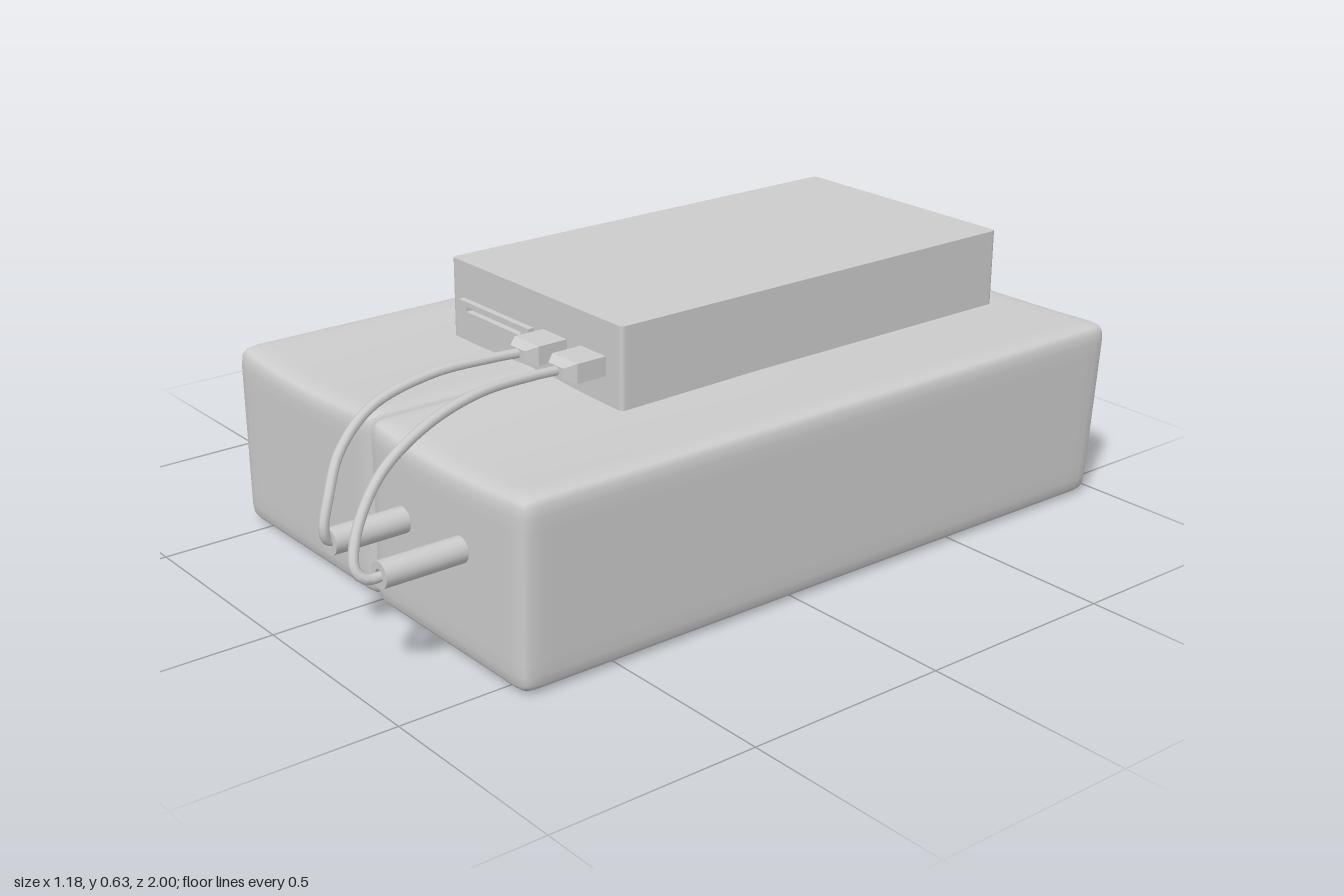
import * as THREE from 'three';
import { mergeVertices } from 'three/addons/utils/BufferGeometryUtils.js';

const material = new THREE.MeshStandardMaterial({ color: 0xcccccc });

function add(parent, name, geometry, x = 0, y = 0, z = 0) {
  const mesh = new THREE.Mesh(geometry, material);
  mesh.name = name;
  mesh.position.set(x, y, z);
  parent.add(mesh);
  return mesh;
}

function rectangle(path, x0, y0, x1, y1) {
  path.moveTo(x0, y0);
  path.lineTo(x1, y0);
  path.lineTo(x1, y1);
  path.lineTo(x0, y1);
  path.closePath();
  return path;
}

// Soft rounded block, slightly uneven; side is -1 or +1, inner face near x = 0
function cushionGeometry(side, zBack, zFront) {
  const half = new THREE.Vector3(0.29, 0.222, (zFront - zBack) / 2);
  const r = 0.038;
  const box = new THREE.BoxGeometry(2, 2, 2, 16, 14, 28);
  box.deleteAttribute('uv');
  box.deleteAttribute('normal');
  const geometry = mergeVertices(box);
  const pos = geometry.attributes.position;
  const p = new THREE.Vector3(), core = new THREE.Vector3();
  const limit = half.clone().subScalar(r);
  // crowd the grid lines towards the edges
  const pack = t => Math.sign(t) * (1 - Math.pow(1 - Math.abs(t), 1.9));
  for (let i = 0; i < pos.count; i++) {
    p.fromBufferAttribute(pos, i);
    p.set(pack(p.x), pack(p.y), pack(p.z)).multiply(half);
    core.copy(p).clamp(limit.clone().negate(), limit);
    p.sub(core).setLength(r).add(core);
    const u = p.x / half.x, v = p.y / half.y, w = p.z / half.z;
    const along = 1 - w * w, across = 1 - u * u;
    // outer wall leans out at the top, inner wall swells to meet its twin
    const out = u * side;
    if (out > 0) p.x += side * out * (0.005 * v - 0.003 * w * side);
    else p.x += side * out * 0.009 * along * (1 - v * v * 0.6);
    // sagging top, slightly hollow underside
    if (v > 0) p.y -= 0.018 * v * across * (0.35 + 0.65 * Math.max(0, w));
    else p.y -= 0.008 * v * along * across;
    // back wall leans out at the top
    if (w < 0) p.z += 0.011 * w * (v + 1);
    pos.setXYZ(i, p.x + side * 0.291, p.y + 0.222, p.z + (zFront + zBack) / 2);
  }
  geometry.computeVertexNormals();
  return geometry;
}

// Box whose front end is narrowed
function taperedBox(w, h, d, sx, sy) {
  const geometry = new THREE.BoxGeometry(w, h, d).toNonIndexed();
  const pos = geometry.attributes.position;
  for (let i = 0; i < pos.count; i++) {
    if (pos.getZ(i) > 0) pos.setXY(i, pos.getX(i) * sx, pos.getY(i) * sy);
  }
  geometry.computeVertexNormals();
  return geometry;
}

// Hollow tube reaching forwards from z0 to z1
function sleeveGeometry(z0, z1) {
  const profile = [[0.03, z0], [0.03, z1], [0.013, z1], [0.013, z1 - 0.05], [0, z1 - 0.05]];
  const points = [];
  profile.forEach(([r, z], i) => {
    points.push(new THREE.Vector2(r, z));
    if (i > 0 && i < profile.length - 1) points.push(new THREE.Vector2(r, z));
  });
  return new THREE.LatheGeometry(points, 16).rotateX(Math.PI / 2);
}

export function createModel() {
  const model = new THREE.Group();
  model.name = 'wiredDevice';

  // Pair of blocks
  add(model, 'rightBlock', cushionGeometry(-1, -0.965, 0.74));
  add(model, 'leftBlock', cushionGeometry(1, -0.977, 0.748));

  // Flat case with small plan-view corner rounding
  const x0 = -0.35, x1 = 0.3, z0 = -0.89, z1 = 0.28, c = 0.012;
  const plan = new THREE.Shape();
  plan.moveTo(x0 + c, -z1);
  plan.lineTo(x1 - c, -z1);
  plan.quadraticCurveTo(x1, -z1, x1, -z1 + c);
  plan.lineTo(x1, -z0 - c);
  plan.quadraticCurveTo(x1, -z0, x1 - c, -z0);
  plan.lineTo(x0 + c, -z0);
  plan.quadraticCurveTo(x0, -z0, x0, -z0 - c);
  plan.lineTo(x0, -z1 + c);
  plan.quadraticCurveTo(x0, -z1, x0 + c, -z1);
  const caseGeometry = new THREE.ExtrudeGeometry(plan, { depth: 0.197, bevelEnabled: false, curveSegments: 4 });
  add(model, 'case', caseGeometry.rotateX(-Math.PI / 2), 0, 0.43, 0);

  // Card slot frame with its opening
  const frame = rectangle(new THREE.Shape(), -0.14, -0.018, 0.14, 0.018);
  frame.holes.push(rectangle(new THREE.Path(), -0.11, -0.006, 0.11, 0.006));
  add(model, 'cardSlot', new THREE.ExtrudeGeometry(frame, { depth: 0.017, bevelEnabled: false }), -0.162, 0.52, 0.279);

  // Plugs, cables and the sleeves they run into
  const leads = [
    {
      plugX: 0.058, sleeve: [0.142, 0.252, 0.93],
      path: [[0.058, 0.522, 0.37], [0.052, 0.524, 0.45], [0.043, 0.52, 0.6], [0.052, 0.485, 0.76],
        [0.09, 0.42, 0.865], [0.132, 0.35, 0.92], [0.147, 0.285, 0.944], [0.143, 0.255, 0.932], [0.142, 0.252, 0.89]]
    },
    {
      plugX: 0.2, sleeve: [0.36, 0.262, 0.945],
      path: [[0.2, 0.522, 0.37], [0.203, 0.526, 0.45], [0.219, 0.527, 0.6], [0.25, 0.497, 0.76],
        [0.285, 0.435, 0.89], [0.322, 0.345, 0.97], [0.35, 0.283, 0.993], [0.363, 0.263, 0.975], [0.36, 0.262, 0.9]]
    }
  ];
  leads.forEach(({ plugX, sleeve, path }, i) => {
    const lead = new THREE.Group();
    lead.name = 'lead' + (i + 1);
    model.add(lead);
    add(lead, 'plugBody', new THREE.BoxGeometry(0.09, 0.046, 0.08), plugX, 0.522, 0.318);
    add(lead, 'plugNose', taperedBox(0.09, 0.046, 0.025, 0.6, 0.55), plugX, 0.522, 0.3705);
    const curve = new THREE.CatmullRomCurve3(path.map(q => new THREE.Vector3(...q)));
    add(lead, 'cable', new THREE.TubeGeometry(curve, 64, 0.0115, 8));
    add(lead, 'sleeve', sleeveGeometry(0.7, sleeve[2]), sleeve[0], sleeve[1], 0);
  });

  return model;
}
